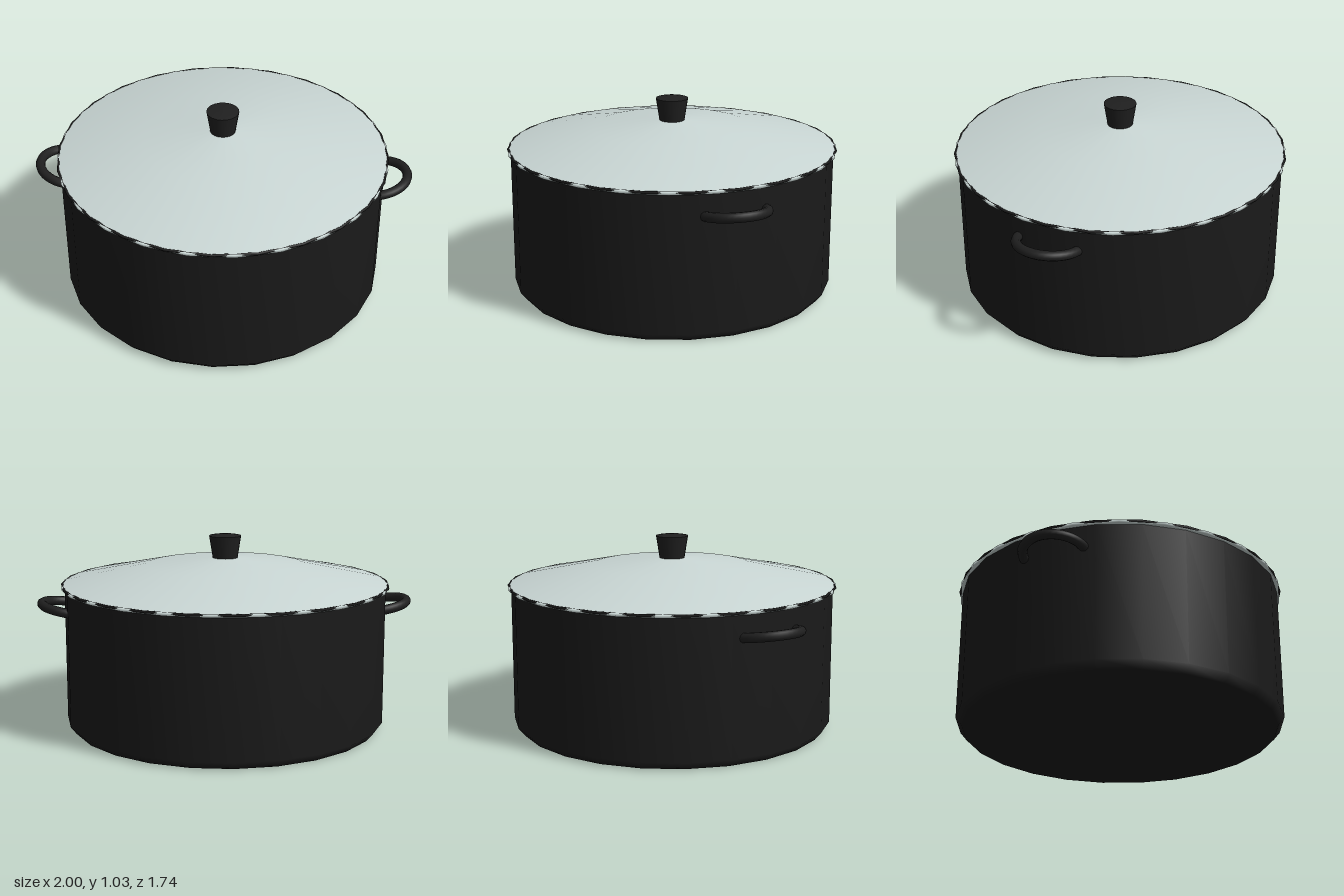
import * as THREE from 'three';

const SIDES = 24;

const material = (name, color, side = THREE.FrontSide) => {
  const m = new THREE.MeshStandardMaterial({ color, side });
  m.name = name;
  return m;
};

export function createModel() {
  const group = new THREE.Group();
  const enamel = material('blackEnamel', 0x1a1a1a, THREE.DoubleSide);
  const grip = material('darkGrip', 0x1f1f1f);
  const steel = material('paleSteel', 0xc9d6d4);

  const add = (name, geometry, mat) => {
    const mesh = new THREE.Mesh(geometry, mat);
    mesh.name = name;
    group.add(mesh);
    return mesh;
  };
  const lathe = (points, sides, start = 0) =>
    new THREE.LatheGeometry(points.map(([r, y]) => new THREE.Vector2(r, y)), sides, start);

  // Pot body with a bevelled foot
  add('potBody', lathe([[0, 0], [0.82, 0], [0.853, 0.04], [0.853, 0.76]], SIDES), enamel);

  // Thin dark rim around the lid edge
  const rim = add('rim', new THREE.TorusGeometry(0.865, 0.007, 6, SIDES), enamel);
  rim.rotation.x = Math.PI / 2;
  rim.position.y = 0.766;

  // Shallow domed lid, turned half a side against the rim
  add('lid', lathe(
    [[0, 0.755], [0.869, 0.755], [0.869, 0.77], [0.42, 0.867], [0, 0.91]],
    SIDES, Math.PI / SIDES), steel);

  // Knob: flared sides and a slightly domed top
  add('knobSides', lathe([[0.066, 0.9], [0.085, 1.02]], 20), grip);
  add('knobTop', lathe([[0.085, 1.02], [0.045, 1.027], [0, 1.03]], 20), grip);

  // Two loop handles, rising a little outwards
  for (const side of [1, -1]) {
    const geometry = new THREE.TorusGeometry(0.16, 0.025, 10, 20, Math.PI);
    geometry.rotateZ(-Math.PI / 2);
    geometry.rotateX(Math.PI / 2);
    geometry.rotateZ(0.17);
    geometry.translate(0.817, 0.638, 0);
    const handle = add(side > 0 ? 'leftHandle' : 'rightHandle', geometry, grip);
    if (side < 0) handle.rotation.y = Math.PI;
  }
  return group;
}
